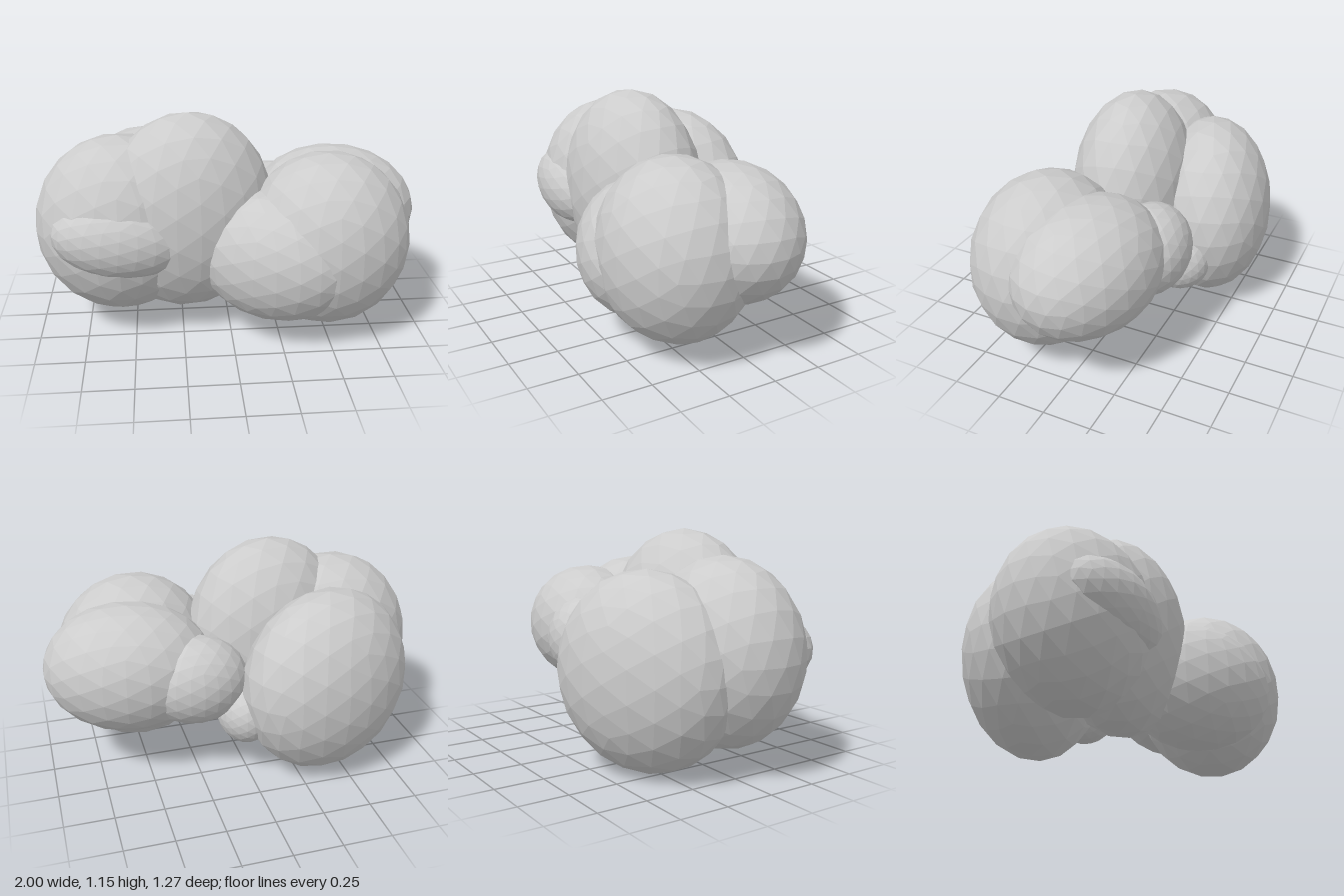
import * as THREE from 'three';

// Faceted ellipsoid lobes: name, centre, radii, rotation (x, y, z)
const LOBES = [
  ['frontLeftLobe', [0.49, 0.515, 0.23], [0.43, 0.455, 0.385], [0, 0, 0]],
  ['outerLeftLobe', [0.565, 0.585, -0.035], [0.44, 0.335, 0.335], [0, -0.2, 0]],
  ['frontCentreLobe', [0.225, 0.455, 0.29], [0.43, 0.34, 0.31], [0, -0.5, 0]],
  ['crownLobe', [-0.21, 0.63, 0.09], [0.45, 0.525, 0.33], [0, 0.16, 0]],
  ['outerRightLobe', [-0.56, 0.57, 0.065], [0.44, 0.47, 0.37], [0, 0, 0]],
  ['backRightLobe', [-0.42, 0.49, -0.28], [0.485, 0.49, 0.34], [0, 0.35, 0]],
  // small bumps that fill the gaps
  ['frontRightBump', [-0.56, 0.57, 0.275], [0.345, 0.21, 0.2], [0, 0, -0.13]],
  ['backBump', [0.26, 0.55, -0.21], [0.27, 0.23, 0.21], [0, 0, 0]],
  ['lowerBackBump', [0.01, 0.36, -0.27], [0.15, 0.165, 0.17], [0, 0, 0]],
];

export function createModel() {
  const group = new THREE.Group();
  group.name = 'lobedCluster';
  const material = new THREE.MeshStandardMaterial({ color: 0xcccccc, flatShading: true });
  const ball = new THREE.IcosahedronGeometry(1, 3);

  for (const [name, centre, radii, rotation] of LOBES) {
    const lobe = new THREE.Mesh(ball, material);
    lobe.name = name;
    lobe.position.set(...centre);
    lobe.scale.set(...radii);
    lobe.rotation.set(...rotation);
    group.add(lobe);
  }
  return group;
}
